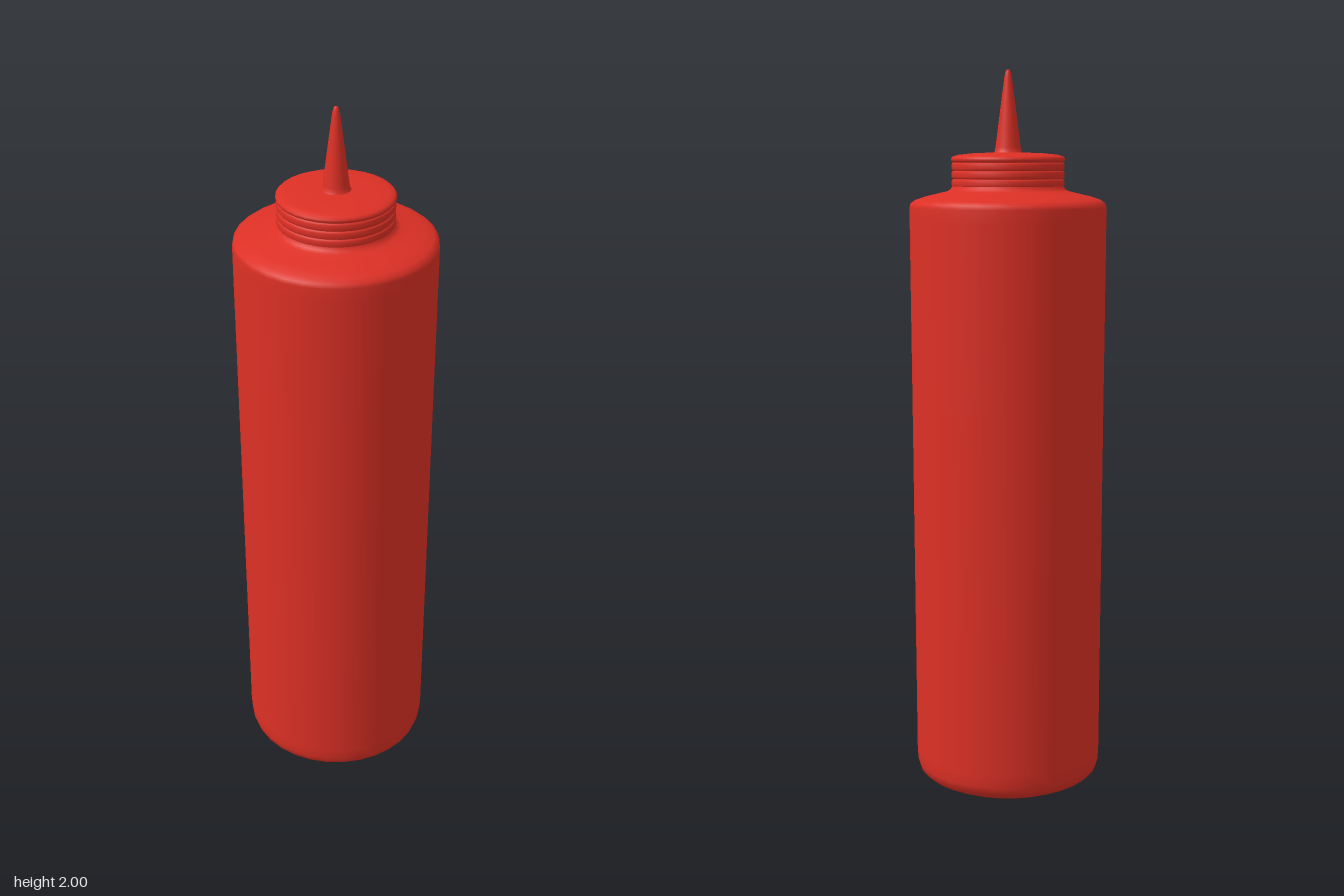
import * as THREE from 'three';

const SIDES = 32;

// Revolve a [radius, height] profile, listed from bottom to top
function turned(name, profile, material) {
  const points = profile.map(([r, y]) => new THREE.Vector2(r, y));
  const mesh = new THREE.Mesh(new THREE.LatheGeometry(points, SIDES), material);
  mesh.name = name;
  return mesh;
}

export function createModel() {
  const group = new THREE.Group();
  group.name = 'squeezeBottle';
  const red = new THREE.MeshStandardMaterial({ color: 0xdd3025 });
  red.name = 'red plastic';

  // Slightly tapering body with a domed base, rounded shoulder and flared neck
  group.add(turned('body', [
    [0, 0], [0.08, 0.003], [0.15, 0.012], [0.2, 0.024], [0.235, 0.04],
    [0.251, 0.055], [0.257, 0.075], [0.259, 0.11],
    [0.261, 0.5], [0.264, 1.1], [0.267, 1.6], [0.267, 1.635],
    [0.264, 1.646], [0.252, 1.655], [0.225, 1.664], [0.19, 1.672],
    [0.165, 1.678], [0.155, 1.684], [0.15, 1.694], [0.147, 1.71],
  ], red));

  // Screw cap: stacked rounded ridges with narrow grooves between them
  const cap = [[0.143, 1.688]];
  for (let i = 0; i < 3; i++) {
    const y = 1.69 + i * 0.022;
    cap.push([0.15, y], [0.153, y + 0.004], [0.153, y + 0.016], [0.15, y + 0.02], [0.147, y + 0.021]);
  }
  // Upper rim and gently domed top
  cap.push([0.152, 1.757], [0.154, 1.761], [0.154, 1.766], [0.149, 1.771],
    [0.135, 1.775], [0.1, 1.779], [0.05, 1.781], [0, 1.782]);
  group.add(turned('cap', cap, red));

  // Tapered pouring nozzle with a small fillet at its foot and a rounded tip
  group.add(turned('nozzle', [
    [0.042, 1.778], [0.037, 1.783], [0.034, 1.795], [0.027, 1.85],
    [0.018, 1.92], [0.01, 1.98], [0.007, 1.994], [0.004, 1.999], [0, 2],
  ], red));

  return group;
}
